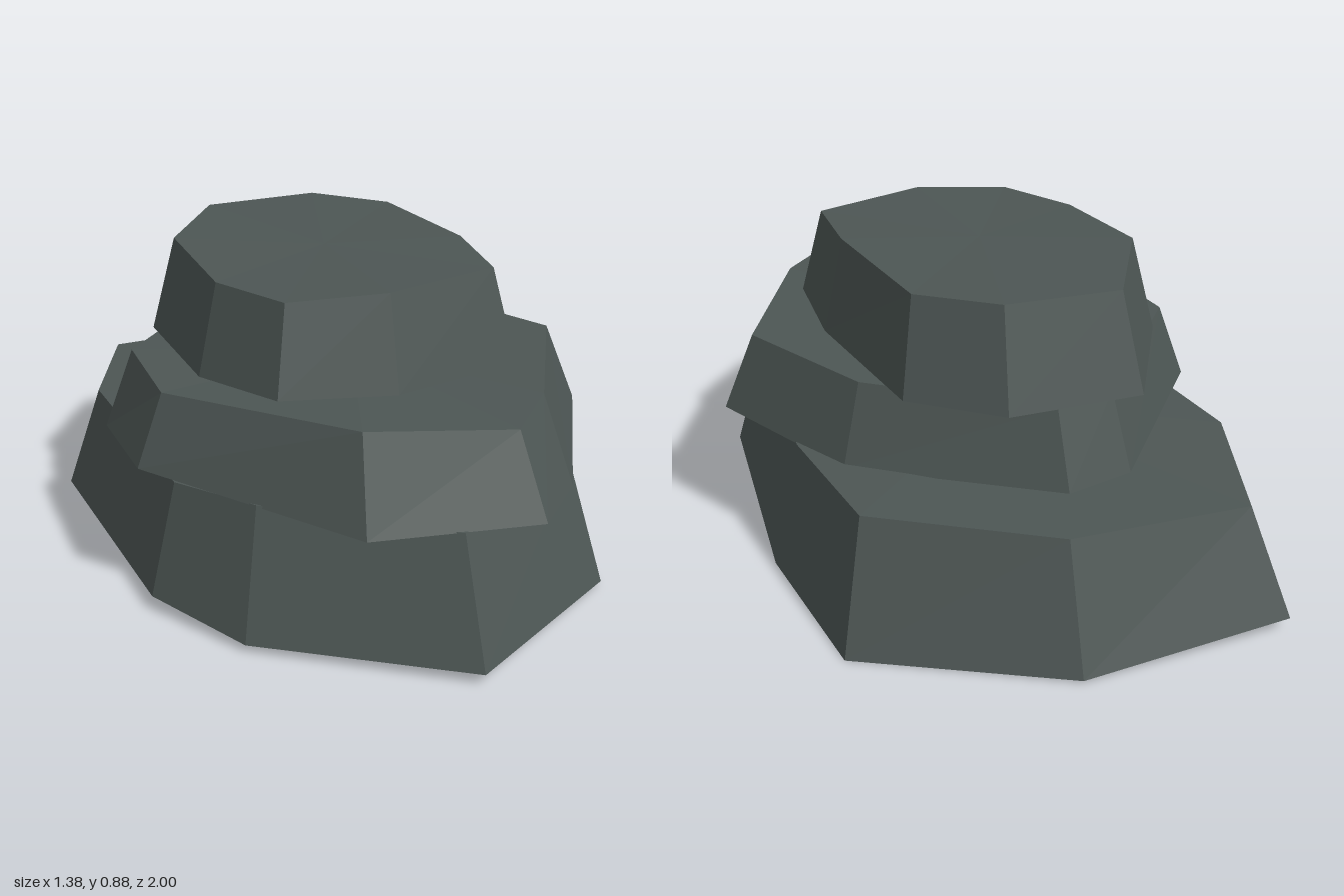
import * as THREE from 'three';

// Irregular rock slab: outline points are [x, z, bottomY, topY];
// the top ring is the outline scaled in by `taper`.
function slab(name, outline, taper, material) {
  const n = outline.length;
  const low = outline.map(([x, z, y]) => [x, y, z]);
  const high = outline.map(([x, z, , y]) => [x * taper, y, z * taper]);
  const middle = ring => [0, 1, 2].map(k => ring.reduce((s, p) => s + p[k], 0) / n);
  const lowMid = middle(low), highMid = middle(high);
  const pos = [];
  const tri = (...corners) => corners.forEach(c => pos.push(...c));

  for (let i = 0; i < n; i++) {
    const j = (i + 1) % n;
    tri(low[j], low[i], high[i]); // sloping side
    tri(low[j], high[i], high[j]);
    tri(highMid, high[j], high[i]); // top
    tri(lowMid, low[i], low[j]); // underside
  }
  const geometry = new THREE.BufferGeometry();
  geometry.setAttribute('position', new THREE.Float32BufferAttribute(pos, 3));
  geometry.computeVertexNormals();
  const mesh = new THREE.Mesh(geometry, material);
  mesh.name = name;
  return mesh;
}

export function createModel() {
  const stone = new THREE.MeshStandardMaterial({ color: 0x4d5654 });
  stone.name = 'dark stone';
  stone.flatShading = true;

  const model = new THREE.Group();
  model.name = 'stackedRocks';

  // Wide base rock
  model.add(slab('baseRock', [
    [-0.40, -1.00, 0.04, 0.335], [0.20, -0.91, 0.005, 0.355], [0.685, -0.52, 0, 0.375],
    [0.66, -0.02, 0.01, 0.37], [0.46, 0.73, 0.015, 0.36], [-0.10, 1.00, 0.03, 0.36],
    [-0.56, 0.58, 0.02, 0.37], [-0.69, 0.265, 0.04, 0.345], [-0.64, -0.55, 0.03, 0.35],
  ], 0.868, stone));

  // Middle rock, shifted forward
  model.add(slab('middleRock', [
    [-0.64, -0.175, 0.365, 0.59], [-0.14, -0.61, 0.37, 0.59], [0.07, -0.63, 0.375, 0.59],
    [0.51, -0.185, 0.36, 0.595], [0.66, 0.29, 0.375, 0.60], [0.31, 0.77, 0.36, 0.595],
    [0.116, 0.93, 0.365, 0.58], [-0.317, 0.78, 0.35, 0.60], [-0.68, 0.175, 0.38, 0.575],
  ], 0.875, stone));

  // Small cap rock
  model.add(slab('capRock', [
    [-0.17, -0.61, 0.595, 0.87], [0.21, -0.55, 0.60, 0.88], [0.40, -0.33, 0.60, 0.875],
    [0.386, 0.175, 0.60, 0.88], [0.315, 0.48, 0.605, 0.868], [-0.09, 0.54, 0.61, 0.865],
    [-0.386, 0.43, 0.61, 0.85], [-0.485, 0.153, 0.60, 0.85], [-0.445, -0.275, 0.60, 0.872],
  ], 0.865, stone));

  return model;
}
